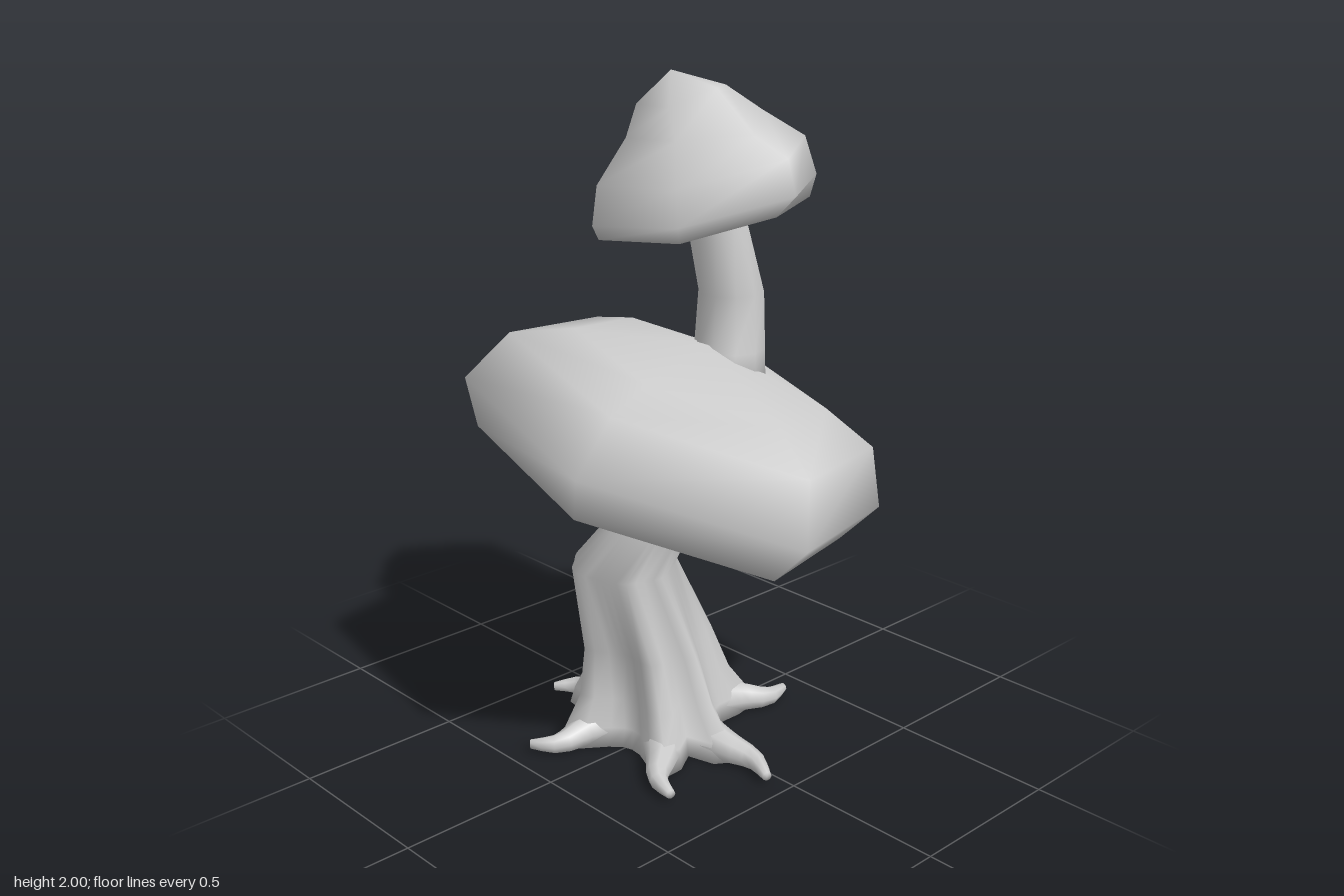
import * as THREE from 'three';

const material = new THREE.MeshStandardMaterial({ color: 0xcccccc, side: THREE.DoubleSide });
const V = (x, y, z) => new THREE.Vector3(x, y, z);

// Smooth skin over rings ordered bottom to top, closed by a centre point at each end
function loft(name, rings, bottom, top) {
  const n = rings[0].length;
  const points = [...rings.flat(), bottom, top];
  const index = [];
  const b = points.length - 2, t = points.length - 1, last = (rings.length - 1) * n;
  for (let j = 0; j < n; j++) {
    const k = (j + 1) % n;
    for (let i = 0; i < rings.length - 1; i++) {
      const lo = i * n, hi = lo + n;
      index.push(lo + j, hi + j, lo + k, lo + k, hi + j, hi + k);
    }
    index.push(b, j, k, t, last + k, last + j);
  }
  const geometry = new THREE.BufferGeometry().setFromPoints(points);
  geometry.setIndex(index);
  geometry.computeVertexNormals();
  const mesh = new THREE.Mesh(geometry, material);
  mesh.name = name;
  return mesh;
}

// Level ring whose radius may vary with the angle
function levelRing(cx, y, cz, sides, radius) {
  return Array.from({ length: sides }, (_, j) => {
    const a = (j / sides) * Math.PI * 2, r = radius(a);
    return V(cx + Math.cos(a) * r, y, cz + Math.sin(a) * r);
  });
}

// Root tips on the ground [x, z, sideways bend]
const rootTips = [
  [0.32, 0.32, 0.04], [-0.18, 0.43, -0.05], [-0.42, 0.14, 0.05],
  [-0.24, -0.23, -0.04], [0.09, -0.39, 0.05], [0.44, 0.05, -0.04],
];
const base = V(-0.04, 0, 0.03);

// Trunk: leaning, with ridges that flare out towards the roots
function makeTrunk() {
  const angles = rootTips.map(([x, z]) => Math.atan2(z - base.z, x - base.x));
  const ridge = (a) => Math.max(...angles.map((r) => {
    const d = Math.atan2(Math.sin(a - r), Math.cos(a - r));
    return Math.exp(-((d / 0.27) ** 2));
  }));
  // y, centre x, centre z, radius, ridge height
  const sections = [
    [0, -0.04, 0.03, 0.18, 0.15], [0.06, -0.04, 0.03, 0.17, 0.14],
    [0.15, -0.05, 0.035, 0.16, 0.09], [0.3, -0.06, 0.055, 0.15, 0.06],
    [0.56, -0.085, 0.13, 0.15, 0.015], [0.7, -0.01, 0.095, 0.13, 0],
    [0.84, 0.03, 0.06, 0.13, 0], [0.95, 0.04, 0.03, 0.12, 0],
  ];
  const rings = sections.map(([y, x, z, r, f]) => levelRing(x, y, z, 36, (a) => r + f * ridge(a)));
  return loft('trunk', rings, base.clone(), V(0.04, 0.95, 0.03));
}

// Root: tapered limb that creeps outwards and hooks at its tip
function makeRoot([x, z, bend]) {
  const tip = V(x, 0.025, z);
  const out = tip.clone().sub(base).setY(0);
  const side = V(-out.z, 0, out.x).normalize().multiplyScalar(bend);
  const at = (s, y, k) => base.clone().addScaledVector(out, s).addScaledVector(side, k).setY(y);
  const curve = new THREE.CatmullRomCurve3(
    [at(0.35, 0.05, 0), at(0.6, 0.04, 0.3), at(0.82, 0.03, 0.8), tip]);
  const steps = 8, sides = 8;
  const frames = curve.computeFrenetFrames(steps, false);
  const rings = [];
  for (let i = 0; i <= steps; i++) {
    const u = i / steps, p = curve.getPointAt(u), r = 0.055 * (1 - u) + 0.014;
    rings.push(Array.from({ length: sides }, (_, j) => {
      const a = (j / sides) * Math.PI * 2;
      const q = p.clone().addScaledVector(frames.binormals[i], Math.cos(a) * r)
        .addScaledVector(frames.normals[i], Math.sin(a) * r);
      return q.setY(Math.max(q.y, 0));
    }));
  }
  return loft('root', rings, curve.getPoint(0), tip);
}

// Large cap: six-cornered rings stacked along a tilted axis
function makeLargeCap() {
  const corners = [[0.655, 0.14], [0.24, 0.583], [-0.42, 0.443], [-0.655, -0.14], [-0.24, -0.585], [0.41, -0.447]];
  const axis = V(0.205, 0.948, -0.24);
  const centre = (h) => V(0, 0.925, 0).addScaledVector(axis, h);
  // height along the axis, scale
  const sections = [[-0.115, 0.5], [-0.13, 0.88], [0, 1], [0.17, 0.87], [0.24, 0.6]];
  const rings = sections.map(([h, s]) => corners.map(([x, z]) =>
    centre(h).add(V(x * s, (-0.216 * x + 0.253 * z) * s, z * s))));
  return loft('largeCap', rings, centre(-0.11), centre(0.315));
}

// Small cap: lopsided bell with six corners per ring
function makeSmallCap() {
  const rings = [
    [[0.29, 1.625, -0.105], [0.19, 1.575, 0.165], [-0.14, 1.535, 0.165], [-0.305, 1.555, -0.085], [-0.15, 1.6, -0.36], [0.18, 1.635, -0.36]],
    [[0.36, 1.69, -0.105], [0.2, 1.62, 0.18], [-0.15, 1.575, 0.18], [-0.325, 1.66, -0.085], [-0.155, 1.67, -0.375], [0.19, 1.7, -0.375]],
    [[0.33, 1.79, -0.105], [0.18, 1.72, 0.17], [-0.14, 1.69, 0.17], [-0.29, 1.69, -0.085], [-0.14, 1.74, -0.345], [0.17, 1.81, -0.345]],
    [[0.22, 1.84, -0.09], [0.1, 1.83, 0.095], [-0.1, 1.82, 0.095], [-0.23, 1.77, -0.08], [-0.12, 1.86, -0.23], [0.12, 1.89, -0.22]],
    [[0.1, 1.96, -0.06], [0.03, 1.91, 0.055], [-0.1, 1.91, 0.055], [-0.18, 1.9, -0.07], [-0.1, 1.95, -0.135], [0.06, 1.96, -0.135]],
  ].map((ring) => ring.map((p) => V(...p)));
  return loft('smallCap', rings, V(0.02, 1.59, -0.1), V(-0.05, 2, -0.03));
}

// Upper stem: bent in the middle
function makeUpperStem() {
  const sections = [[1.08, 0.065, -0.155, 0.108], [1.2, 0.055, -0.165, 0.105], [1.36, 0.03, -0.195, 0.097], [1.64, 0.035, -0.11, 0.085]];
  const rings = sections.map(([y, x, z, r]) => levelRing(x, y, z, 10, () => r));
  return loft('upperStem', rings, V(0.065, 1.08, -0.155), V(0.035, 1.64, -0.11));
}

export function createModel() {
  const model = new THREE.Group();
  model.name = 'mushroom';
  const roots = new THREE.Group();
  roots.name = 'roots';
  rootTips.forEach((tip) => roots.add(makeRoot(tip)));
  model.add(makeTrunk(), roots, makeLargeCap(), makeUpperStem(), makeSmallCap());
  return model;
}
